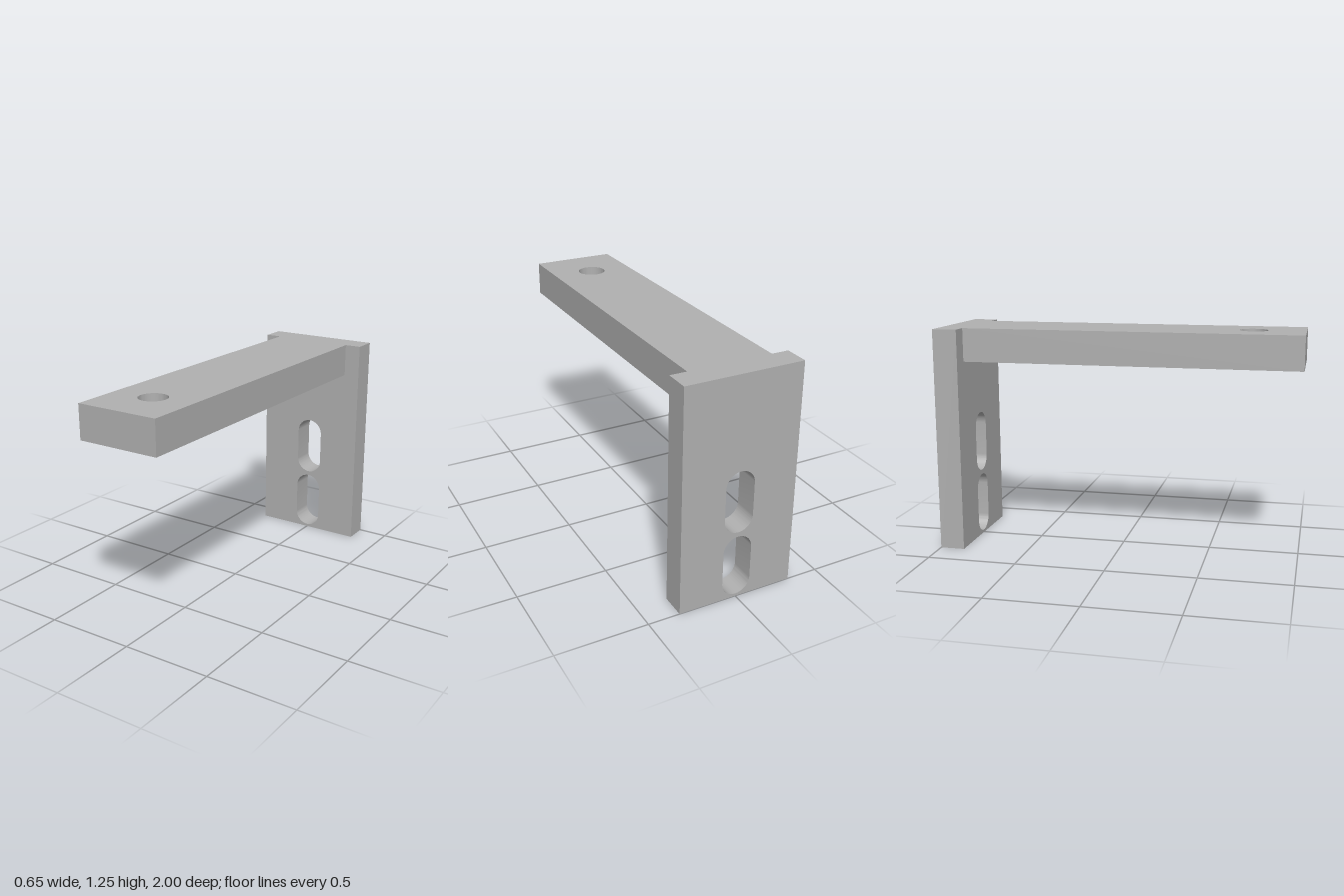
import * as THREE from 'three';
import { toCreasedNormals } from 'three/addons/utils/BufferGeometryUtils.js';

const HEIGHT = 1.247;
const PLATE_FRONT = -0.862;

function rectangle(halfWidth, low, high) {
  return new THREE.Shape([
    new THREE.Vector2(-halfWidth, low),
    new THREE.Vector2(halfWidth, low),
    new THREE.Vector2(halfWidth, high),
    new THREE.Vector2(-halfWidth, high),
  ]);
}

// Upright slot with round ends
function slot(low, high, r) {
  const path = new THREE.Path();
  path.absarc(0, high - r, r, 0, Math.PI);
  path.absarc(0, low + r, r, Math.PI, Math.PI * 2);
  path.closePath();
  return path;
}

function extrude(shape, depth) {
  const geometry = new THREE.ExtrudeGeometry(shape, { depth, bevelEnabled: false, curveSegments: 24 });
  return toCreasedNormals(geometry, Math.PI / 6);
}

export function createModel() {
  const group = new THREE.Group();
  group.name = 'bracket';
  const grey = new THREE.MeshStandardMaterial({ color: 0xb0b0b0 });
  grey.name = 'grey metal';

  // Upright plate with two mounting slots
  const plateShape = rectangle(0.325, 0, HEIGHT);
  for (const low of [0.015, 0.387]) plateShape.holes.push(slot(low, low + 0.346, 0.081));
  const plate = new THREE.Mesh(extrude(plateShape, 1 + PLATE_FRONT), grey);
  plate.name = 'mountingPlate';
  plate.position.z = -1;
  group.add(plate);

  // Horizontal arm, drawn in plan and laid flat, with a bolt hole
  const armShape = rectangle(0.232, PLATE_FRONT, 1);
  const hole = new THREE.Path();
  hole.absarc(0, 0.72, 0.077, 0, Math.PI * 2);
  armShape.holes.push(hole);
  const arm = new THREE.Mesh(extrude(armShape, 0.186).rotateX(Math.PI / 2), grey);
  arm.name = 'arm';
  arm.position.y = HEIGHT;
  group.add(arm);

  return group;
}
